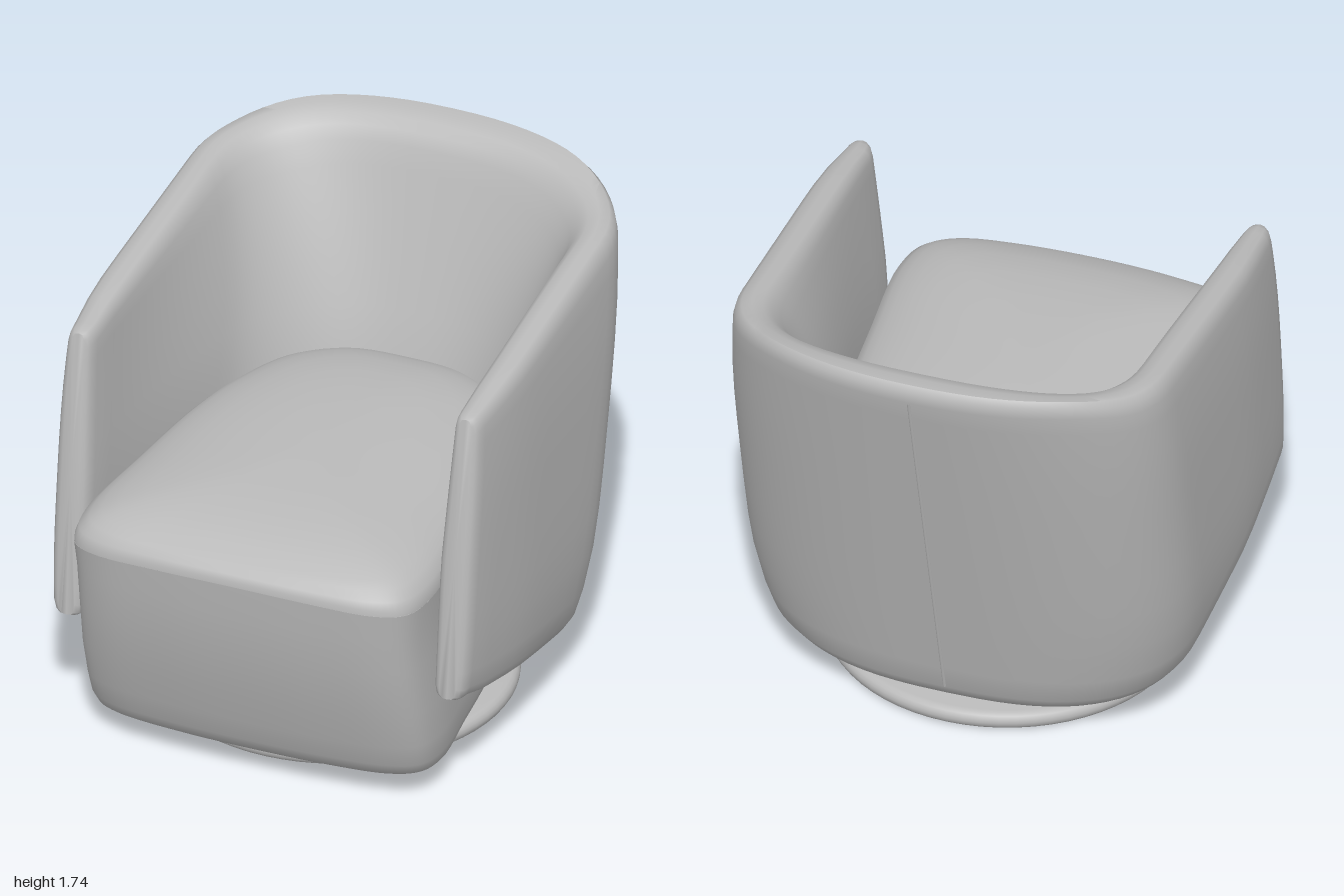
import * as THREE from 'three';
import { toCreasedNormals } from 'three/addons/utils/BufferGeometryUtils.js';

const lerp = THREE.MathUtils.lerp;
const smooth = THREE.MathUtils.smoothstep;

// Skin between rows of points; every row is a closed loop
function loft(rows, crease = 0.9) {
  const n = rows[0].length, pos = rows.flat(2), idx = [];
  for (let i = 0; i < rows.length - 1; i++) {
    for (let j = 0; j < n; j++) {
      const k = (j + 1) % n, a = i * n + j, b = i * n + k, c = a + n, d = b + n;
      idx.push(a, b, d, a, d, c);
    }
  }
  const g = new THREE.BufferGeometry();
  g.setAttribute('position', new THREE.Float32BufferAttribute(pos, 3));
  g.setIndex(idx);
  return toCreasedNormals(g, crease);
}

// --- Wraparound shell rules ---
const backZ = (y) => -0.6 - 0.253 * (y - 0.12);
const frontZ = (y) => 0.745 - 0.13 * (y - 0.45) + 0.014 * Math.sin(Math.PI * (y - 0.45) / 1.08);
const topY = (z) => 1.53 + 0.115 * (0.6 - z) + 0.04 * smooth(-z, 0.68, 0.95);
const bottomY = (z) => 0.11 + 0.246 * (z + 0.6);

// Plan position on the outer or inner wall; p runs along the arm, phi around the back
function wall(y, inner, { p, phi, side }) {
  const k = THREE.MathUtils.clamp((y - 0.95) / 0.75, 0, 1);
  const zb = backZ(y) + (inner ? lerp(0.23, 0.155, k) : 0);
  const b = inner ? 0.4 : 0.48, e = 2 / (inner ? 2.6 : lerp(2.65, 2.2, y / 1.7));
  const c = Math.max(Math.cos(phi), 0) ** e, s = Math.sin(phi) ** e;
  const z = p < 1 ? lerp(frontZ(y), zb + b, p) : zb + b - b * s;
  let w;
  if (inner) {
    // the inside of the arms closes in on the cushion lower down and towards the back
    w = lerp(0.665, 0.7, k) - 0.135 * (1 - k ** 1.5) * (0.75 - z) ** 2;
  } else {
    w = 0.83 - (y > 0.95 ? 0.035 * ((y - 0.95) / 0.7) ** 3 : 0.07 * ((0.95 - y) / 0.75) ** 4);
    w -= 0.03 * smooth(z, 0.2, 0.75);
  }
  return [side * w * c, z];
}

// Height where a wall meets its sloping top or bottom edge
function edgeHeight(rule, start, inner, station) {
  let y = start;
  for (let i = 0; i < 4; i++) y = rule(wall(y, inner, station)[1]);
  return y;
}

function shellGeometry() {
  // Wall section: [0 inner .. 1 outer, 0 bottom .. 1 top]
  const section = [[0.5, 0], [0.8, 0.002], [0.94, 0.012], [1, 0.04]];
  for (let t = 0.1; t < 0.92; t += 0.1) section.push([1, t]);
  section.push([1, 0.95], [0.95, 0.98], [0.8, 0.996], [0.5, 1], [0.2, 0.996], [0.05, 0.98], [0, 0.95]);
  for (let t = 0.9; t > 0.08; t -= 0.1) section.push([0, t]);
  section.push([0, 0.04], [0.06, 0.012], [0.2, 0.002]);

  // Stations from the front of one arm to the centre of the back
  const half = [];
  const cap = [[0, 0, 0], [0.5, 0, 0.98], [0.72, 0.008, 0.985], [0.9, 0.025, 0.995], [1, 0.06, 1]];
  for (const [m, inset, t] of cap) half.push({ p: 0, phi: 0, m, inset, t });
  for (let i = 1; i <= 8; i++) half.push({ p: 0.08 + 0.92 * i / 8, phi: 0, m: 1, inset: 0, t: 1 });
  for (let i = 1; i <= 18; i++) half.push({ p: 1, phi: Math.PI / 2 * i / 18, m: 1, inset: 0, t: 1 });
  const stations = [
    ...half.map((h) => ({ ...h, side: -1 })),
    ...half.slice(0, -1).reverse().map((h) => ({ ...h, side: 1 })),
  ];

  return loft(stations.map((st) => {
    const [outer, inner] = [false, true].map((isInner) => {
      const lo = edgeHeight(bottomY, 0.3, isInner, st), hi = edgeHeight(topY, 1.6, isInner, st);
      return (t) => {
        const y = lerp(lo, hi, t), [x, z] = wall(y, isInner, st);
        return [x, y, z];
      };
    });
    return section.map(([m, t]) => {
      const h = 0.5 + (t - 0.5) * st.t, k = 0.5 + (m - 0.5) * st.m;
      const o = outer(h), i = inner(h);
      return [lerp(i[0], o[0], k), lerp(i[1], o[1], k), lerp(i[2], o[2], k) - st.inset];
    });
  }));
}

// --- Seat outline seen from above: wide front, rounded narrow back ---
const side = [[0.3, 0.99], [0.53, 0.955], [0.63, 0.89], [0.665, 0.75], [0.635, 0.4], [0.59, 0],
  [0.53, -0.24], [0.42, -0.46], [0.24, -0.585]];
const outline = new THREE.CatmullRomCurve3(
  [[0, 1], ...side, [0, -0.61], ...side.map(([x, z]) => [-x, z]).reverse()]
    .map(([x, z]) => new THREE.Vector3(x, 0, z)), true, 'centripetal').getPoints(96).slice(0, -1);

// Level: [height, width scale, front z, back z, how much the front seam arches]
function seatLoft(levels) {
  return loft(levels.map(([y, sx, zf, zb, arch = 0]) => outline.map((q) => [
    q.x * sx,
    y + arch * smooth(q.z, 0.4, 0.9) * (0.035 * (1 - (q.x / 0.66) ** 2) - 0.01),
    lerp(zb, zf, (q.z + 0.6) / 1.6),
  ])));
}

export function createModel() {
  const group = new THREE.Group();
  const fabric = new THREE.MeshStandardMaterial({ color: 0xbababa });
  fabric.name = 'grey';
  const add = (name, geometry, x = 0, y = 0, z = 0) => {
    const mesh = new THREE.Mesh(geometry, fabric);
    mesh.name = name;
    mesh.position.set(x, y, z);
    group.add(mesh);
  };

  add('shell', shellGeometry());

  // Piped seam down the middle of the back
  const seamPath = new THREE.LineCurve3(
    new THREE.Vector3(0, 0.18, backZ(0.18) + 0.003), new THREE.Vector3(0, 1.67, backZ(1.67) + 0.003));
  add('backSeam', new THREE.TubeGeometry(seamPath, 1, 0.007, 8));

  // Upholstered body, tapering towards the floor
  add('seatBody', seatLoft([
    [0.082, 0, 0.15, 0.15], [0.082, 0.88, 0.72, -0.38], [0.09, 0.93, 0.77, -0.42],
    [0.115, 0.97, 0.805, -0.45], [0.16, 0.99, 0.83, -0.47], [0.25, 1, 0.86, -0.49],
    [0.4, 1, 0.91, -0.52], [0.6, 0.99, 0.96, -0.56], [0.75, 0.99, 0.985, -0.58],
    [0.855, 1, 1, -0.6, 1],
  ]));

  // Domed cushion, flatter from front to back than from side to side
  const dome = [[0.855, 1, 1], [0.875, 0.997, 1], [0.905, 0.98, 0.7], [0.935, 0.93, 0.3], [0.955, 0.875],
    [0.978, 0.79], [1.0, 0.67], [1.02, 0.49], [1.033, 0.27], [1.037, 0]];
  add('seatCushion', seatLoft(dome.map(([y, s, arch = 0]) => {
    const d = s ** 0.65;
    return [y, s, 0.2 + 0.8 * d, 0.2 - 0.83 * d, arch];
  })));

  // Swivel base: round-edged disc with a recessed underside
  const rim = [[0, 0.012], [0.58, 0.012], [0.59, 0.004], [0.61, 0]];
  for (let i = 1; i <= 8; i++) {
    const a = -Math.PI / 2 + Math.PI * i / 8;
    rim.push([0.61 + 0.034 * Math.cos(a), 0.034 + 0.034 * Math.sin(a)]);
  }
  rim.push([0, 0.068]);
  const disc = new THREE.LatheGeometry(rim.map(([x, y]) => new THREE.Vector2(x, y)), 64);
  add('baseDisc', toCreasedNormals(disc, 0.6), 0, 0, 0.04);
  add('swivelHub', new THREE.CylinderGeometry(0.065, 0.065, 0.05, 32), 0, 0.08, 0.08);

  return group;
}
